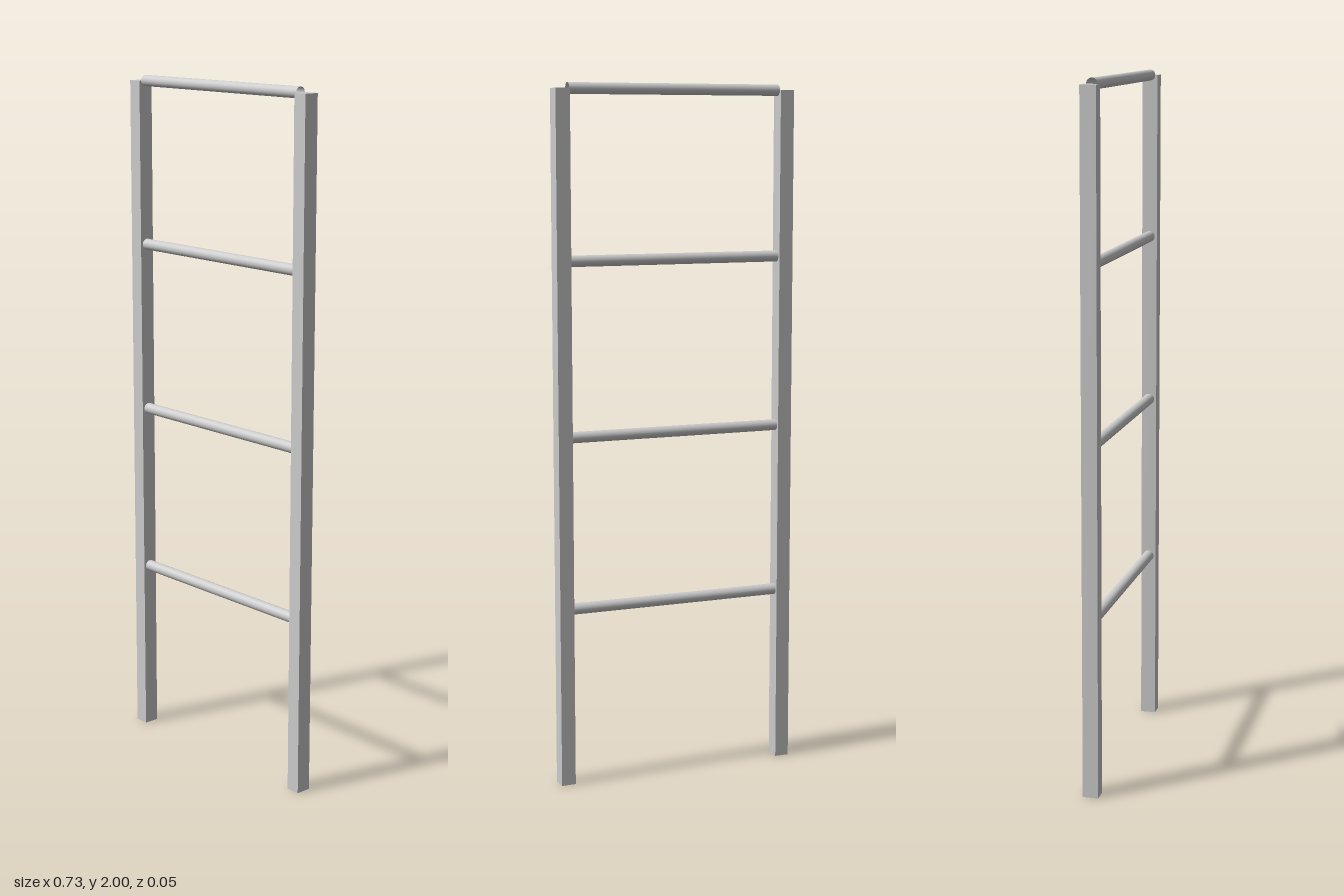
import * as THREE from 'three';

const HEIGHT = 1.984;      // post height, also the axis of the top rung
const INNER = 0.321;       // inner face of each post
const POST_W = 0.042;
const POST_D = 0.045;
const RUNG_R = 0.016;

export function createModel() {
  const ladder = new THREE.Group();
  ladder.name = 'ladder';
  const material = new THREE.MeshStandardMaterial({ color: 0xcccccc });
  const rungMaterial = new THREE.MeshStandardMaterial({ color: 0xcccccc, side: THREE.DoubleSide });

  // Square side posts, mirrored
  const postGeometry = new THREE.BoxGeometry(POST_W, HEIGHT, POST_D);
  for (const [name, side] of [['leftPost', 1], ['rightPost', -1]]) {
    const post = new THREE.Mesh(postGeometry, material);
    post.name = name;
    post.position.set(side * (INNER + POST_W / 2), HEIGHT / 2, 0);
    ladder.add(post);
  }

  // Round open tubes spanning between the posts
  const rungGeometry = new THREE.CylinderGeometry(RUNG_R, RUNG_R, INNER * 2, 24, 1, true);
  rungGeometry.rotateZ(Math.PI / 2);
  [0.515, 1.012, 1.509, HEIGHT].forEach((y, i) => {
    const rung = new THREE.Mesh(rungGeometry, rungMaterial);
    rung.name = `rung${i + 1}`;
    rung.position.y = y;
    ladder.add(rung);
  });

  return ladder;
}
